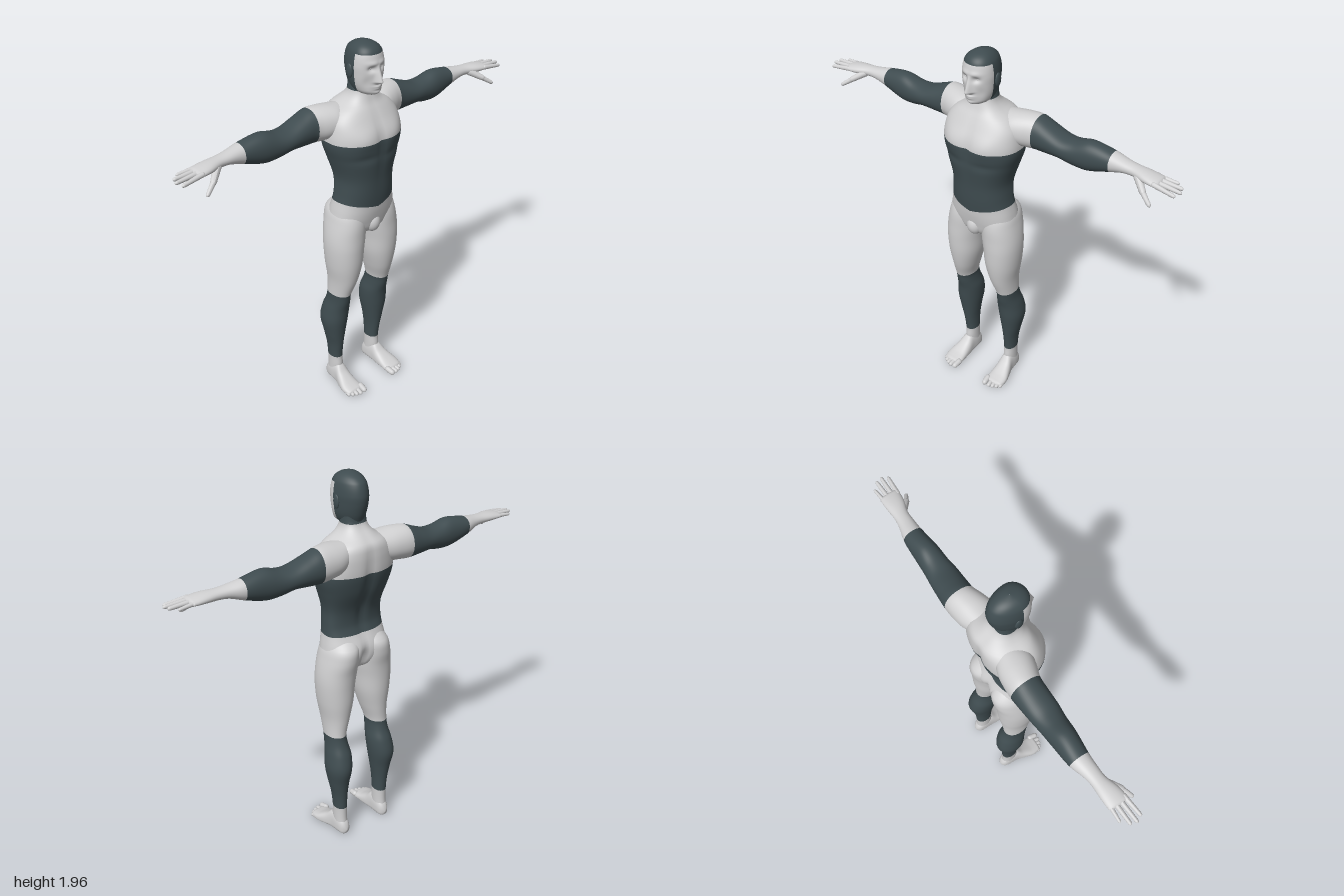
import * as THREE from 'three';

const skin = new THREE.MeshStandardMaterial({ color: 0xd0d0d1 });
skin.name = 'paleSkin';
const dark = new THREE.MeshStandardMaterial({ color: 0x3f4c50 });
dark.name = 'darkCloth';

const bell = (d, w) => Math.exp(-(d * d) / (w * w));

// Lofts rings [t, uCentre, uRadius, vCentre, vHigh, vLow] along an axis.
// paint(t, v) returns true for dark; shape(p) moves each finished vertex.
function loft(name, axis, rings, { n = 48, step = 0.015, power = 2, paint = () => false, shape } = {}) {
  const slope = (k, c) => {
    const a = rings[Math.max(k - 1, 0)], b = rings[Math.min(k + 1, rings.length - 1)];
    return (b[c] - a[c]) / (b[0] - a[0]);
  };
  const rows = [rings[0]];
  for (let k = 0; k < rings.length - 1; k++) {
    const A = rings[k], B = rings[k + 1], h = B[0] - A[0];
    const m = Math.max(1, Math.ceil(Math.abs(h) / step));
    for (let i = 1; i <= m; i++) {
      const s = i / m, s2 = s * s, s3 = s2 * s;
      rows.push(A.map((a, c) => c === 0 ? a + h * s
        : (2 * s3 - 3 * s2 + 1) * a + (3 * s2 - 2 * s3) * B[c]
          + h * ((s3 - 2 * s2 + s) * slope(k, c) + (s3 - s2) * slope(k + 1, c))));
    }
  }
  const pos = [], faces = [[], []];
  const soft = (x) => Math.sign(x) * Math.pow(Math.abs(x), 2 / power);
  rows.forEach(([t, uc, ur, vc, hi, lo], r) => {
    for (let j = 0; j < n; j++) {
      const a = (j / n) * Math.PI * 2, c = soft(Math.cos(a));
      const u = uc + ur * soft(Math.sin(a)), v = vc + c * (c > 0 ? hi - vc : vc - lo);
      const p = axis === 'y' ? new THREE.Vector3(u, t, v)
        : axis === 'x' ? new THREE.Vector3(t, v, u) : new THREE.Vector3(u, v, t);
      if (shape) shape(p);
      pos.push(p.x, p.y, p.z);
      if (r === rows.length - 1) continue;
      const k = (j + 1) % n, o = r * n, q = o + n;
      const mid = Math.cos(((j + 0.5) / n) * Math.PI * 2);
      faces[paint((t + rows[r + 1][0]) / 2, mid) ? 1 : 0].push(o + j, o + k, q + k, o + j, q + k, q + j);
    }
  });
  const g = new THREE.BufferGeometry();
  g.setAttribute('position', new THREE.Float32BufferAttribute(pos, 3));
  g.setIndex([...faces[0], ...faces[1]]);
  g.addGroup(0, faces[0].length, 0);
  g.addGroup(faces[0].length, faces[1].length, 1);
  g.computeVertexNormals();
  const mesh = new THREE.Mesh(g, [skin, dark]);
  mesh.name = name;
  return mesh;
}

// Tapered rounded digit from a to b
function digit(name, a, b, r, taper = 0.7) {
  const A = new THREE.Vector3(...a), d = new THREE.Vector3(...b).sub(A), len = d.length();
  const g = new THREE.CapsuleGeometry(r, len - r, 6, 14, 4);
  const p = g.attributes.position;
  for (let i = 0; i < p.count; i++) {
    const f = 1 + (taper - 1) * (p.getY(i) / len + 0.5);
    p.setXYZ(i, p.getX(i) * f, p.getY(i), p.getZ(i) * f);
  }
  g.applyQuaternion(new THREE.Quaternion().setFromUnitVectors(new THREE.Vector3(0, 1, 0), d.clone().normalize()));
  g.translate(A.x + d.x / 2, A.y + d.y / 2, A.z + d.z / 2);
  g.computeVertexNormals();
  const mesh = new THREE.Mesh(g, skin);
  mesh.name = name;
  return mesh;
}

function ball(name, mat, x, y, z, sx, sy, sz) {
  const g = new THREE.SphereGeometry(1, 24, 16).scale(sx, sy, sz).translate(x, y, z);
  const mesh = new THREE.Mesh(g, mat);
  mesh.name = name;
  return mesh;
}

// Mirrors a mesh across x, keeping faces outward
function mirrored(mesh) {
  const g = mesh.geometry.clone().applyMatrix4(new THREE.Matrix4().makeScale(-1, 1, 1));
  const ix = g.index;
  for (let i = 0; i < ix.count; i += 3) {
    const b = ix.getX(i + 1);
    ix.setX(i + 1, ix.getX(i + 2));
    ix.setX(i + 2, b);
  }
  const m = new THREE.Mesh(g, mesh.material);
  m.name = mesh.name.replace('left', 'right');
  return m;
}

// Chest, belly, spine and waistline relief
function shapeTorso(p) {
  const ax = Math.abs(p.x);
  if (p.z > 0.02) {
    p.z += 0.010 * bell(ax - 0.09, 0.06) * bell(p.y - 1.52, 0.05);
    p.z -= 0.008 * bell(ax, 0.02) * bell(p.y - 1.48, 0.14);
    p.z -= 0.006 * bell(p.y - 1.42, 0.02) * bell(ax - 0.09, 0.07);
    p.y -= 0.035 * Math.max(0, 1 - ax / 0.16) * bell(p.y - 1.17, 0.06);
  } else if (p.z < -0.03) {
    p.z += 0.016 * bell(ax, 0.025) * bell(p.y - 1.4, 0.22);
    p.z += 0.03 * bell(ax, 0.02) * bell(p.y - 1.04, 0.06);
  }
}

// Brow, eye sockets, nose, lips and chin
function shapeFace(p) {
  if (p.z < 0.05) return;
  const ax = Math.abs(p.x), y = p.y;
  const ridge = y > 1.785 ? Math.max(0, 1 - (y - 1.785) / 0.08) : Math.max(0, 1 - (1.785 - y) / 0.014);
  p.z += 0.032 * ridge * bell(ax, 0.009 + 0.008 * ridge);
  p.z -= 0.013 * bell(ax - 0.031, 0.018) * bell(y - 1.846, 0.014);
  p.z += 0.005 * bell(y - 1.872, 0.012) * bell(ax - 0.025, 0.03);
  p.z += 0.008 * bell(y - 1.762, 0.006) * bell(ax, 0.022);
  p.z += 0.007 * bell(y - 1.751, 0.006) * bell(ax, 0.02);
  p.z += 0.006 * bell(y - 1.73, 0.011) * bell(ax, 0.02);
  p.z -= 0.006 * bell(y - 1.78, 0.03) * bell(ax - 0.05, 0.018);
}

export function createModel() {
  const model = new THREE.Group();
  model.name = 'figure';

  // Torso and neck
  model.add(loft('torso', 'y', [
    [0.955, 0, 0.01, -0.01, 0, -0.02], [0.97, 0, 0.05, -0.01, 0.06, -0.07],
    [1.0, 0, 0.13, -0.01, 0.09, -0.1], [1.05, 0, 0.178, -0.01, 0.104, -0.122],
    [1.1, 0, 0.176, -0.01, 0.113, -0.122], [1.17, 0, 0.164, -0.01, 0.12, -0.092],
    [1.22, 0, 0.158, -0.01, 0.127, -0.078], [1.3, 0, 0.156, -0.01, 0.133, -0.088],
    [1.4, 0, 0.182, -0.01, 0.145, -0.128], [1.46, 0, 0.2, -0.01, 0.147, -0.145],
    [1.5, 0, 0.205, -0.01, 0.146, -0.152], [1.55, 0, 0.2, -0.01, 0.134, -0.155],
    [1.6, 0, 0.185, -0.01, 0.11, -0.154], [1.64, 0, 0.15, -0.01, 0.088, -0.146],
    [1.67, 0, 0.1, -0.01, 0.07, -0.116], [1.7, 0, 0.072, -0.01, 0.058, -0.082],
    [1.725, 0, 0.063, -0.01, 0.05, -0.066], [1.77, 0, 0.06, -0.01, 0.045, -0.06],
  ], { n: 72, power: 2.35, shape: shapeTorso, paint: (t) => (t > 1.17 && t < 1.5) || t > 1.725 }));
  model.add(ball('groin', skin, 0, 1.03, 0.075, 0.042, 0.055, 0.042));

  // Head with close-cropped hair
  model.add(loft('head', 'y', [
    [1.712, 0, 0.012, 0.035, 0.07, 0], [1.716, 0, 0.036, 0.035, 0.092, -0.03],
    [1.73, 0, 0.056, 0.035, 0.106, -0.058], [1.75, 0, 0.067, 0.035, 0.109, -0.07],
    [1.78, 0, 0.075, 0.035, 0.111, -0.081], [1.82, 0, 0.079, 0.035, 0.112, -0.091],
    [1.86, 0, 0.08, 0.035, 0.112, -0.094], [1.912, 0, 0.071, 0.035, 0.103, -0.08],
    [1.935, 0, 0.057, 0.032, 0.088, -0.058], [1.95, 0, 0.037, 0.025, 0.063, -0.028],
    [1.957, 0, 0.016, 0.018, 0.035, 0], [1.959, 0, 0.001, 0.017, 0.018, 0.016],
  ], { n: 96, step: 0.004, shape: shapeFace, paint: (t, v) => v < 0 || t > 1.912 }));

  const left = [];

  // Arm, from inside the shoulder to the knuckles
  left.push(loft('leftArm', 'x', [
    [0.06, -0.06, 0.05, 1.6, 1.655, 1.55], [0.14, -0.054, 0.088, 1.585, 1.665, 1.51],
    [0.2, -0.064, 0.088, 1.58, 1.67, 1.503], [0.26, -0.076, 0.079, 1.58, 1.667, 1.5],
    [0.32, -0.075, 0.076, 1.575, 1.644, 1.503], [0.4, -0.071, 0.072, 1.565, 1.618, 1.508],
    [0.46, -0.07, 0.065, 1.56, 1.62, 1.495], [0.54, -0.07, 0.06, 1.565, 1.639, 1.492],
    [0.65, -0.074, 0.05, 1.575, 1.622, 1.525], [0.72, -0.067, 0.039, 1.58, 1.61, 1.55],
    [0.77, -0.063, 0.036, 1.58, 1.605, 1.555], [0.83, -0.055, 0.046, 1.578, 1.602, 1.556],
    [0.885, -0.051, 0.049, 1.575, 1.594, 1.56], [0.9, -0.05, 0.043, 1.575, 1.588, 1.564],
    [0.905, -0.05, 0.002, 1.575, 1.577, 1.573],
  ], { power: 2.1, paint: (t) => t > 0.26 && t < 0.65 }));

  // Fingers: [base z, tip x, tip y, tip z]
  [[-0.014, 0.984, 1.566, -0.002], [-0.038, 0.998, 1.572, -0.032],
    [-0.062, 0.99, 1.574, -0.061], [-0.086, 0.958, 1.572, -0.092]].forEach(([z, tx, ty, tz], i) =>
    left.push(digit('leftFinger' + (i + 1), [0.875, 1.578, z], [tx, ty, tz], i === 3 ? 0.0105 : 0.0125)));
  left.push(digit('leftThumbBase', [0.785, 1.575, -0.045], [0.85, 1.533, 0.012], 0.02, 0.7));
  left.push(digit('leftThumb', [0.835, 1.542, 0.002], [0.895, 1.502, 0.034], 0.0135, 0.7));

  // Leg
  left.push(loft('leftLeg', 'y', [
    [0.05, 0.133, 0.032, -0.075, -0.04, -0.12], [0.1, 0.133, 0.032, -0.07, -0.022, -0.115],
    [0.165, 0.133, 0.033, -0.07, -0.025, -0.115], [0.25, 0.135, 0.038, -0.07, -0.015, -0.12],
    [0.33, 0.138, 0.051, -0.065, -0.004, -0.132], [0.42, 0.139, 0.065, -0.065, 0.01, -0.15],
    [0.5, 0.133, 0.063, -0.055, 0.02, -0.135], [0.56, 0.132, 0.053, -0.04, 0.035, -0.11],
    [0.61, 0.132, 0.051, -0.03, 0.045, -0.1], [0.7, 0.121, 0.066, -0.015, 0.075, -0.105],
    [0.8, 0.116, 0.086, -0.01, 0.095, -0.115], [0.9, 0.114, 0.095, -0.01, 0.102, -0.12],
    [0.97, 0.107, 0.098, -0.01, 0.102, -0.126], [1.05, 0.097, 0.092, -0.01, 0.1, -0.139],
    [1.11, 0.088, 0.082, -0.01, 0.085, -0.13], [1.17, 0.07, 0.05, -0.01, 0.05, -0.06],
  ], { power: 2.1, paint: (t) => t > 0.165 && t < 0.61 }));

  // Foot, from the toe joints back to the heel
  left.push(loft('leftFoot', 'z', [
    [0.122, 0.142, 0.006, 0.015, 0.018, 0.01], [0.115, 0.143, 0.042, 0.015, 0.03, 0.001],
    [0.095, 0.145, 0.052, 0.016, 0.037, 0], [0.06, 0.146, 0.053, 0.02, 0.05, 0],
    [0.01, 0.14, 0.045, 0.025, 0.08, 0], [-0.03, 0.135, 0.037, 0.03, 0.115, 0],
    [-0.08, 0.133, 0.035, 0.035, 0.11, 0], [-0.115, 0.132, 0.028, 0.03, 0.08, 0],
    [-0.13, 0.132, 0.014, 0.03, 0.052, 0.012], [-0.134, 0.132, 0.001, 0.03, 0.031, 0.029],
  ], { power: 2.5, step: 0.008 }));

  // Toes, big to little
  [[0.106, 0.152, 0.0165], [0.134, 0.15, 0.0125], [0.155, 0.143, 0.012], [0.174, 0.132, 0.0115], [0.19, 0.117, 0.011]]
    .forEach(([x, z, r], i) => left.push(
      digit('leftToe' + (i + 1), [x - 0.004, r + 0.008, z - 0.055], [x, r, z - r / 2], r, 0.9)));

  // Eye and ear
  left.push(ball('leftEye', skin, 0.031, 1.846, 0.083, 0.014, 0.0085, 0.012));
  left.push(ball('leftEar', dark, 0.083, 1.828, 0.008, 0.009, 0.034, 0.02));

  left.forEach((m) => model.add(m, mirrored(m)));
  return model;
}
